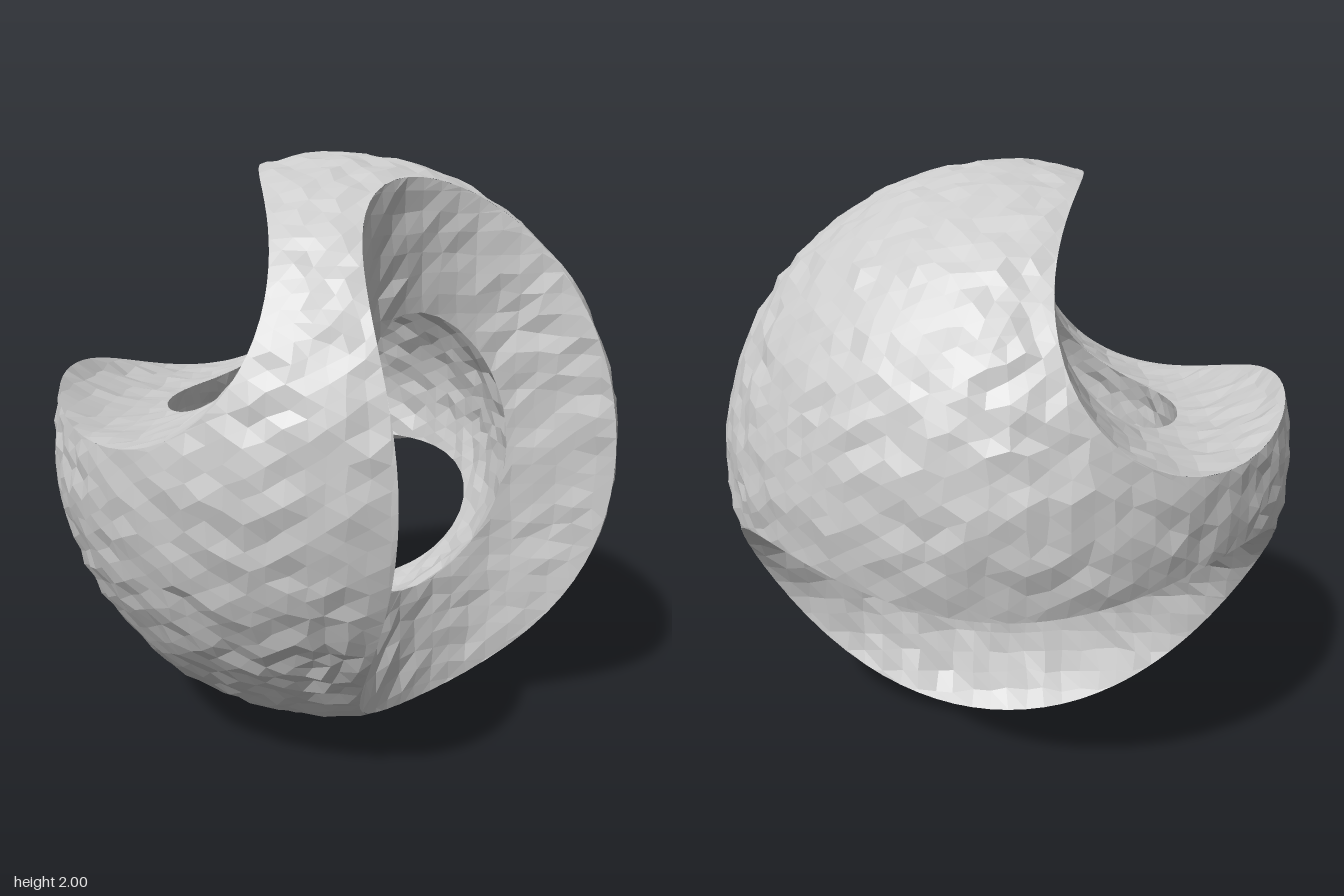
import * as THREE from 'three';
import { mergeVertices } from 'three/addons/utils/BufferGeometryUtils.js';

const OUTER = 0.992, INNER = 0.62, BORE = 0.5, OFFSET = 0.63;
const material = new THREE.MeshStandardMaterial({ color: 0xcccccc, flatShading: true });

// Seeded random in -1..1 for the hand-chipped surface
let seed = 7;
const random = () => {
  seed = (seed * 16807) % 2147483647;
  return (seed / 2147483647) * 2 - 1;
};

// Positive outside all three bores, which run along z, y and x
const outsideBores = (p) => Math.min(
  Math.hypot(p.x + OFFSET, p.y - OFFSET),
  Math.hypot(p.x - OFFSET, p.z - OFFSET),
  Math.hypot(p.y + OFFSET, p.z + OFFSET)) - BORE;

// Positive between the inner and outer spheres
const insideShell = (p) => Math.min(OUTER - p.length(), p.length() - INNER);

// Keeps the part of a surface where field > 0, then roughens it away from the rims
function carve(source, field, project) {
  const geometry = source.index ? source.toNonIndexed() : source;
  const pos = geometry.attributes.position;
  const out = [];
  for (let i = 0; i < pos.count; i += 3) {
    const tri = [0, 1, 2].map((k) => new THREE.Vector3().fromBufferAttribute(pos, i + k));
    const poly = [];
    tri.forEach((a, k) => {
      const b = tri[(k + 1) % 3];
      const fa = field(a), fb = field(b);
      if (fa > 0) poly.push(a);
      if ((fa > 0) !== (fb > 0)) poly.push(project(a.clone().lerp(b, fa / (fa - fb))));
    });
    for (let k = 1; k < poly.length - 1; k++) {
      for (const p of [poly[0], poly[k], poly[k + 1]]) out.push(p.x, p.y, p.z);
    }
  }
  let result = new THREE.BufferGeometry();
  result.setAttribute('position', new THREE.Float32BufferAttribute(out, 3));
  result = mergeVertices(result, 1e-4);
  const verts = result.attributes.position;
  const p = new THREE.Vector3();
  for (let i = 0; i < verts.count; i++) {
    p.fromBufferAttribute(verts, i);
    const amount = 0.009 * THREE.MathUtils.clamp(field(p) / 0.05, 0, 1);
    verts.setXYZ(i, p.x + random() * amount, p.y + random() * amount, p.z + random() * amount);
  }
  result.computeVertexNormals();
  return result;
}

function addPart(parent, name, geometry) {
  const mesh = new THREE.Mesh(geometry, material);
  mesh.name = name;
  parent.add(mesh);
  return mesh;
}

export function createModel() {
  const group = new THREE.Group();
  group.name = 'boredHollowBall';
  const body = new THREE.Group();
  body.name = 'ball';
  body.position.y = 1;
  group.add(body);

  // Outer skin
  addPart(body, 'outerSkin', carve(
    new THREE.IcosahedronGeometry(OUTER, 17), outsideBores, (p) => p.setLength(OUTER)));

  // Hollow, mirrored through its centre so that it faces inwards
  addPart(body, 'innerHollow', carve(
    new THREE.IcosahedronGeometry(INNER, 11).scale(-1, -1, -1), outsideBores,
    (p) => p.setLength(INNER)));

  // Bore wall along z, mirrored to face its own axis
  const tube = new THREE.CylinderGeometry(BORE, BORE, 2, 44, 30, true)
    .rotateX(Math.PI / 2).scale(1, 1, -1).translate(-OFFSET, OFFSET, 0);
  const onTube = (p) => {
    const s = BORE / Math.hypot(p.x + OFFSET, p.y - OFFSET);
    return p.set((p.x + OFFSET) * s - OFFSET, (p.y - OFFSET) * s + OFFSET, p.z);
  };
  const wall = carve(tube, insideShell, onTube);

  // Three bores, repeated about the ball's threefold axis
  const axis = new THREE.Vector3(1, 1, -1).normalize();
  for (let i = 0; i < 3; i++) {
    addPart(body, `boreWall${i + 1}`, wall)
      .quaternion.setFromAxisAngle(axis, (i * Math.PI * 2) / 3);
  }
  return group;
}
